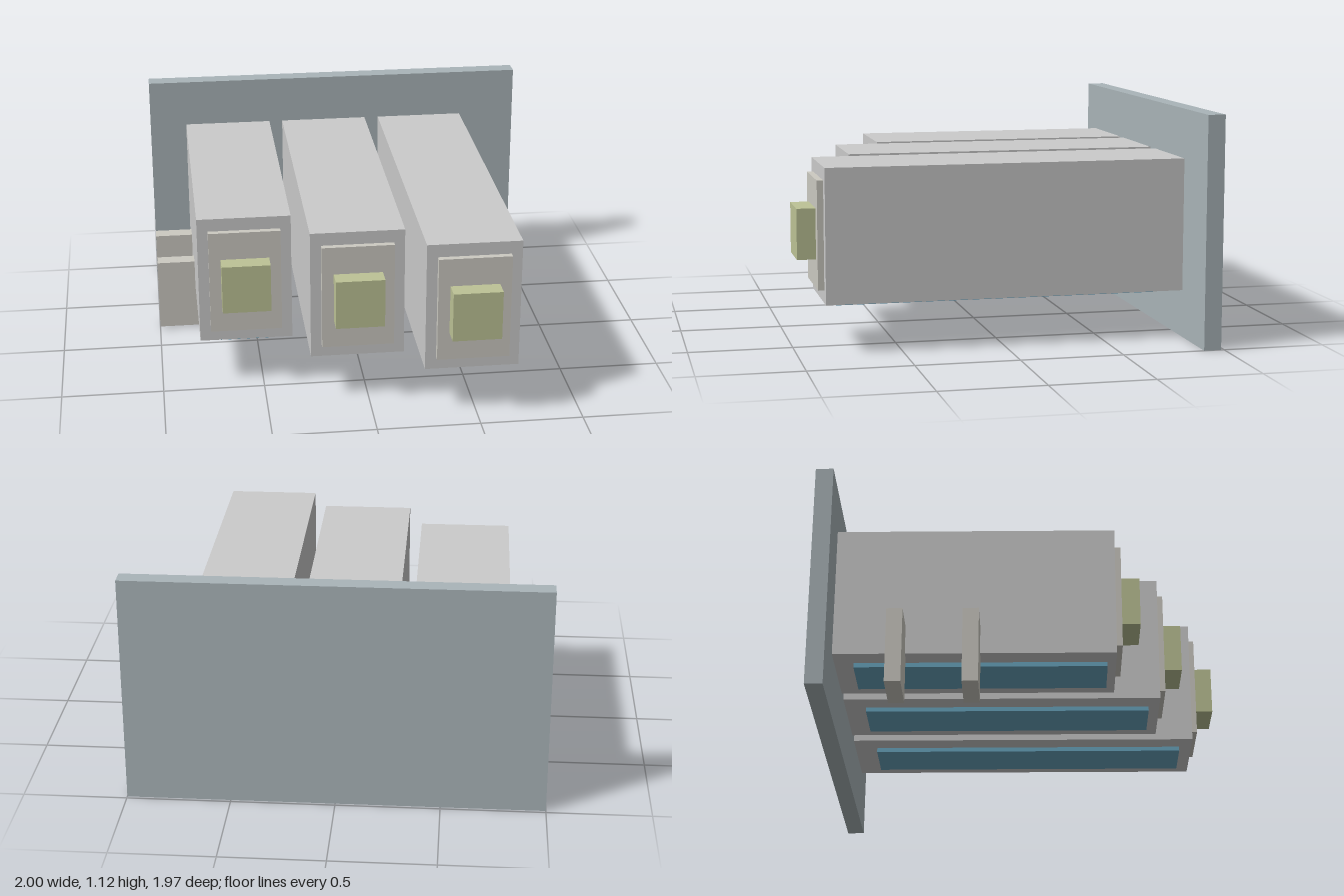
import * as THREE from 'three';

const material = (color) => new THREE.MeshStandardMaterial({ color });

// Box given by its extents on each axis
function block(name, [x0, x1], [y0, y1], [z0, z1], mat) {
  const mesh = new THREE.Mesh(new THREE.BoxGeometry(x1 - x0, y1 - y0, z1 - z0), mat);
  mesh.position.set((x0 + x1) / 2, (y0 + y1) / 2, (z0 + z1) / 2);
  mesh.name = name;
  return mesh;
}

const around = (centre, width) => [centre - width / 2, centre + width / 2];

export function createModel() {
  const model = new THREE.Group();
  model.name = 'drawerUnit';

  const grey = material(0xcccccc);
  const slate = material(0xaab5b9);
  const warm = material(0xcccac2);
  const olive = material(0xbdc396);
  const blue = material(0x6aa6c0);

  // Upright panel behind everything
  model.add(block('backPanel', [-1, 1], [0, 1.125], [-0.985, -0.9], slate));

  // Three long boxes of growing length, each with face plate, button and runner
  const back = -0.89;
  [[-0.58, 0.44], [-0.055, 0.67], [0.474, 0.865]].forEach(([x, front], i) => {
    const drawer = new THREE.Group();
    drawer.name = `drawer${i + 1}`;
    const runner = (front - back) * 0.9;
    const mid = (front + back) / 2 + 0.025;
    drawer.add(
      block('drawerBody', around(x, 0.455), [0.238, 0.887], [back, front], grey),
      block('facePlate', around(x, 0.35), [0.3, 0.823], [front, front + 0.03], warm),
      block('button', around(x, 0.236), [0.44, 0.684], [front + 0.03, front + 0.12], olive),
      block('runner', around(x, 0.252), [0.216, 0.238], around(mid, runner), blue),
    );
    model.add(drawer);
  });

  // Two upright tabs beside the shortest box
  for (const z of [-0.587, -0.236]) {
    model.add(block('sideTab', [-1, -0.757], [0.01, 0.378], around(z, 0.075), warm));
  }

  return model;
}
